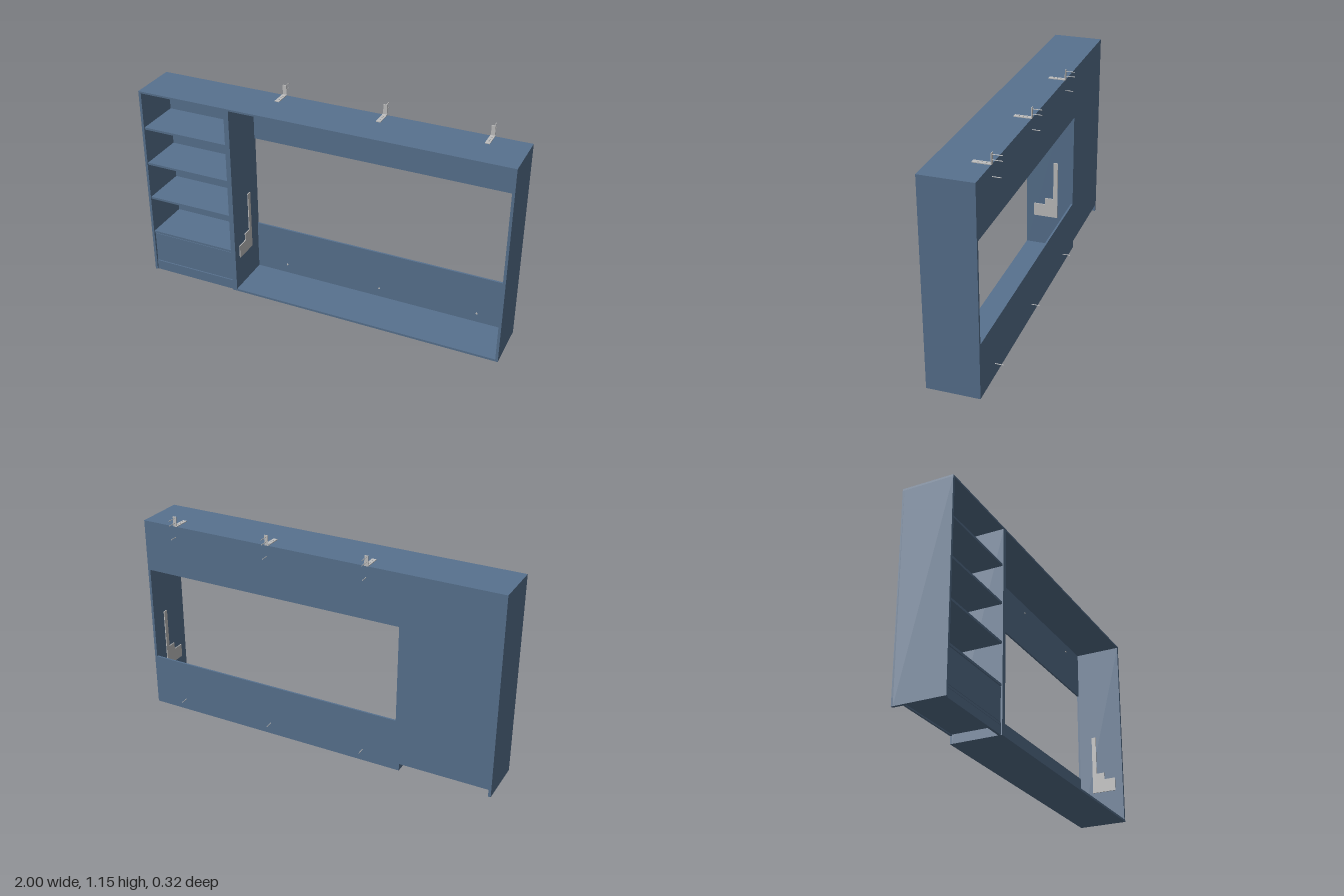
import * as THREE from 'three';

export function createModel() {
  const root = new THREE.Group();
  const blue = new THREE.MeshStandardMaterial({ color: 0x58728f });
  blue.name = 'blue panel';
  const steel = new THREE.MeshStandardMaterial({ color: 0xc0c0c0 });
  steel.name = 'steel';

  const H = 1.095, FRONT = 0.16, BACK = -0.11, T = 0.012;

  // Box given by its limits on each axis
  function box(name, x0, x1, y0, y1, z0, z1, mat = blue, parent = root) {
    const mesh = new THREE.Mesh(new THREE.BoxGeometry(x1 - x0, y1 - y0, z1 - z0), mat);
    mesh.position.set((x0 + x1) / 2, (y0 + y1) / 2, (z0 + z1) / 2);
    mesh.name = name;
    parent.add(mesh);
    return mesh;
  }

  // Round rod along z, or along y when upright
  function rod(name, x, y, z, radius, length, parent, upright = false) {
    const mesh = new THREE.Mesh(new THREE.CylinderGeometry(radius, radius, length, 12), steel);
    if (!upright) mesh.rotation.x = Math.PI / 2;
    mesh.position.set(x, y, z);
    mesh.name = name;
    parent.add(mesh);
  }

  // Outer carcass
  const inner = BACK + 0.01;
  box('topPanel', -1, 1, H - 0.01, H, BACK, FRONT);
  box('rightSide', -1, -0.986, 0, H - 0.01, inner, FRONT);
  box('leftSide', 0.986, 1, 0, H - 0.01, inner, FRONT);
  box('shelfDivider', -0.503, -0.489, 0, H - 0.01, inner, FRONT);
  box('openingDivider', -0.489, -0.476, 0, H - 0.01, inner, FRONT);
  box('floorPanel', -0.476, 0.986, 0, T, inner, FRONT);

  // Back panel with the large opening and a raised lower edge behind the shelves
  const outline = new THREE.Shape([
    [-1, 0.04], [-0.503, 0.04], [-0.503, 0], [1, 0], [1, H - 0.01], [-1, H - 0.01],
  ].map(([x, y]) => new THREE.Vector2(x, y)));
  outline.holes.push(new THREE.Path([
    [-0.476, 0.29], [-0.476, 0.815], [0.986, 0.815], [0.986, 0.29],
  ].map(([x, y]) => new THREE.Vector2(x, y))));
  const back = new THREE.Mesh(
    new THREE.ExtrudeGeometry(outline, { depth: 0.01, bevelEnabled: false }), blue);
  back.position.z = BACK;
  back.name = 'backPanel';
  root.add(back);
  box('sideFoot', -1, -0.986, 0, 0.04, BACK, inner);

  // Shelves, drawer front and plinth
  for (const y of [0.046, 0.24, 0.457, 0.667, 0.876]) {
    box('shelf', -0.986, -0.503, y, y + T, inner, FRONT - 0.005);
  }
  box('drawerFront', -0.983, -0.506, 0.062, 0.236, FRONT - 0.02, FRONT - 0.007);
  box('plinth', -0.986, -0.503, 0, 0.046, FRONT - 0.02, FRONT - 0.007);

  // Stepped steel plates on the two inner walls of the opening
  for (const [name, x] of [['rightPlate', -0.476], ['leftPlate', 0.981]]) {
    const profile = new THREE.Shape([
      [0.115, 0.19], [0.115, 0.265], [0.05, 0.265], [0.05, 0.305],
      [0.003, 0.305], [0.003, 0.53], [-0.022, 0.53], [-0.022, 0.19],
    ].map(([z, y]) => new THREE.Vector2(-z, y)));
    const plate = new THREE.Mesh(
      new THREE.ExtrudeGeometry(profile, { depth: 0.005, bevelEnabled: false }), steel);
    plate.rotation.y = Math.PI / 2;
    plate.position.x = x;
    plate.name = name;
    root.add(plate);
  }

  // Wall brackets on top, with their bolts, and the bolts through the back
  for (const x of [-0.295, 0.255, 0.803]) {
    const bracket = new THREE.Group();
    bracket.name = 'wallBracket';
    root.add(bracket);
    box('bracketFoot', x - 0.012, x + 0.012, H, H + 0.004, BACK, -0.02, steel, bracket);
    box('bracketUpright', x - 0.01, x + 0.01, H, 1.15, BACK - 0.002, BACK + 0.002, steel, bracket);
    for (const z of [-0.045, -0.065, -0.085]) {
      rod('footScrew', x, H + 0.005, z, 0.004, 0.004, bracket, true);
    }
    for (const y of [1.115, 1.141]) {
      rod('wallBolt', x, y, -0.135, 0.002, 0.05, bracket);
    }
    for (const y of [0.065, 1.036]) {
      rod('backBolt', x, y, -0.124, 0.002, 0.056, root);
      rod('boltHead', x, y, inner + 0.001, 0.005, 0.004, root);
    }
  }

  return root;
}
